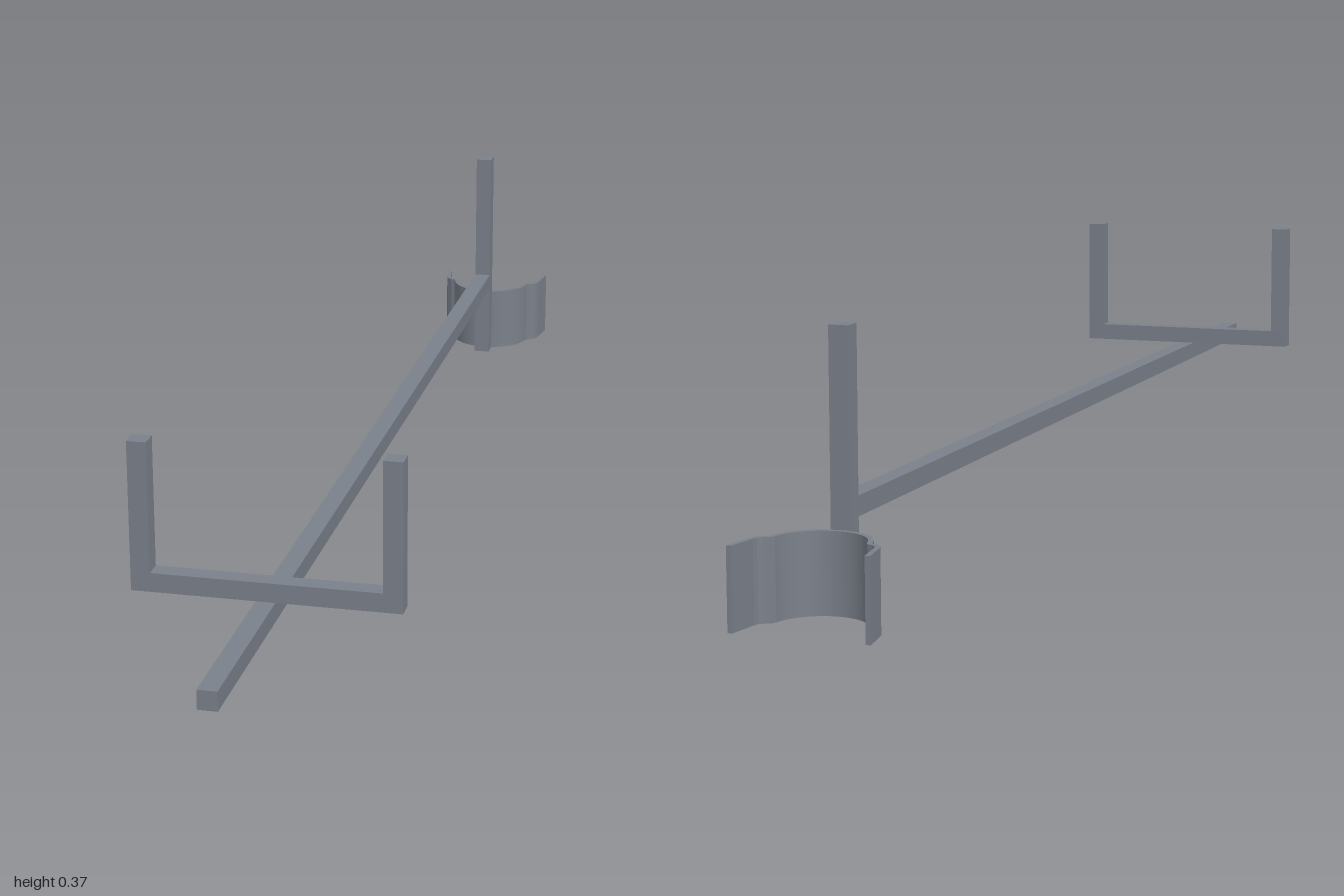
import * as THREE from 'three';

export function createModel() {
  const model = new THREE.Group();
  const material = new THREE.MeshStandardMaterial({ color: 0x7a808a });

  const add = (name, geometry, x, y, z) => {
    const mesh = new THREE.Mesh(geometry, material);
    mesh.name = name;
    mesh.position.set(x, y, z);
    model.add(mesh);
  };
  // Box given by its minimum and maximum corners
  const bar = (name, x0, x1, y0, y1, z0, z1) =>
    add(name, new THREE.BoxGeometry(x1 - x0, y1 - y0, z1 - z0),
      (x0 + x1) / 2, (y0 + y1) / 2, (z0 + z1) / 2);

  const h = 0.0134; // half width of the square stock

  // Long beam and the post at its rear end
  bar('mainBeam', -h, h, 0.123, 0.15, -0.845, 1);
  bar('rearPost', -h, h, 0, 0.37, -0.869, -0.842);

  // Short round pin joining the post and the clip
  add('clipPin', new THREE.CylinderGeometry(0.0132, 0.0132, 0.05, 24), 0, 0.025, -0.86);

  // U-shaped fork on top of the beam
  bar('forkCrossbar', -0.185, 0.185, 0.15, 0.177, 0.697, 0.724);
  for (const s of [-1, 1]) {
    const cx = s * (0.185 - h);
    bar(s > 0 ? 'leftForkProng' : 'rightForkProng', cx - h, cx + h, 0.177, 0.361, 0.697, 0.724);
  }

  // Spring clip: round cradle with stepped, flaring arms, as a strip of even thickness
  const arm = [[0.092, -1], [0.085, -0.952], [0.082, -0.944], [0.075, -0.938], [0.068, -0.935]];
  const path = arm.map(([x, z]) => new THREE.Vector2(x, z));
  const steps = 40, a0 = 0.16;
  for (let i = 0; i <= steps; i++) {
    const a = a0 + (Math.PI - 2 * a0) * i / steps;
    path.push(new THREE.Vector2(0.066 * Math.cos(a), -0.94 + 0.066 * Math.sin(a)));
  }
  path.push(...arm.map(([x, z]) => new THREE.Vector2(-x, z)).reverse());

  const thickness = 0.007;
  const offset = (side) => path.map((p, i) => {
    const t = path[Math.min(i + 1, path.length - 1)].clone()
      .sub(path[Math.max(i - 1, 0)]).normalize();
    const z = i === 0 || i === path.length - 1 ? -1 : p.y - t.x * side * thickness / 2;
    return new THREE.Vector2(p.x + t.y * side * thickness / 2, -z);
  });
  const outline = new THREE.Shape([...offset(1), ...offset(-1).reverse()]);
  const clip = new THREE.ExtrudeGeometry(outline, { depth: 0.11, bevelEnabled: false });
  clip.rotateX(-Math.PI / 2);
  add('clip', clip, 0, 0, 0);

  return model;
}
